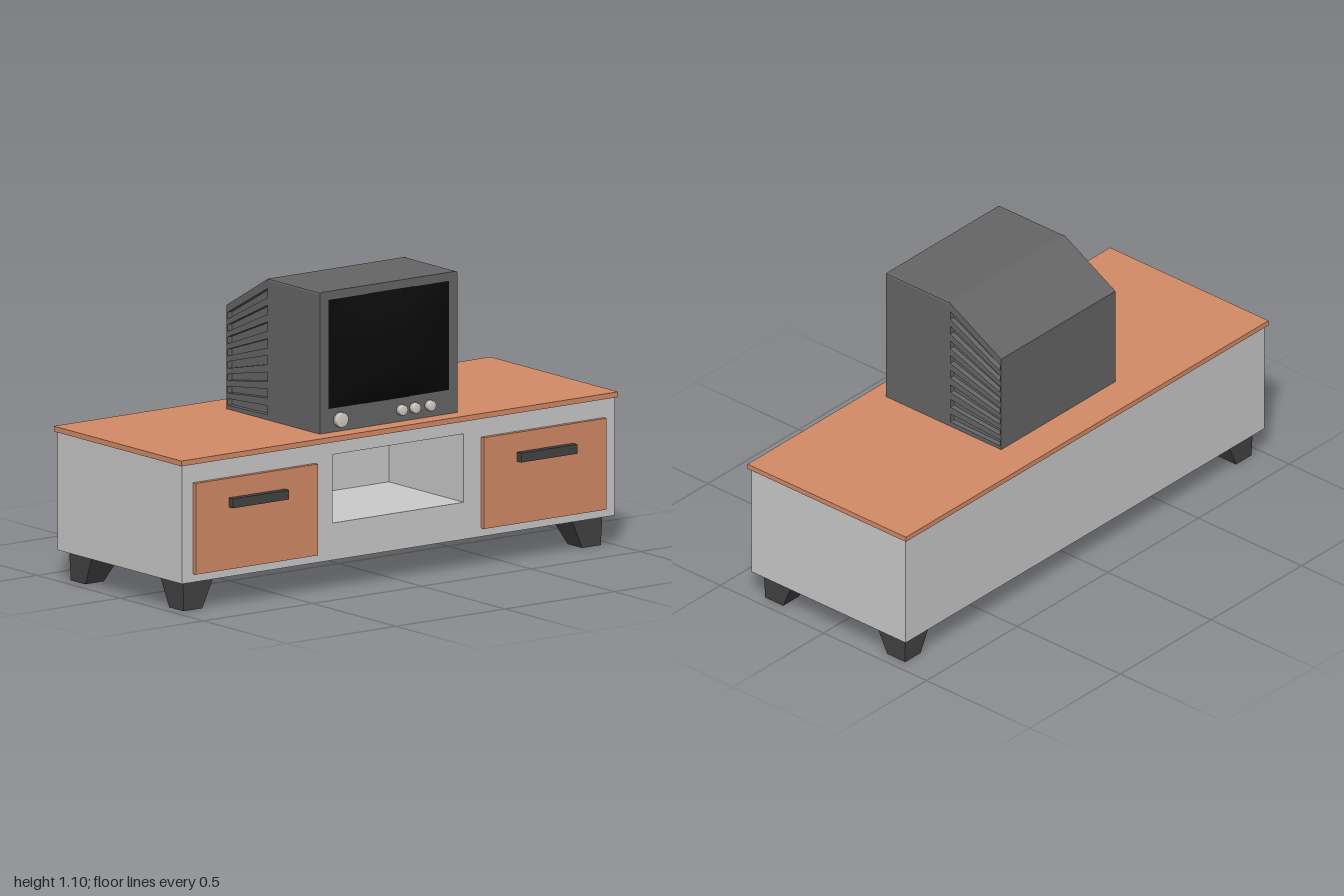
import * as THREE from 'three';

const mat = (color, extra = {}) => new THREE.MeshStandardMaterial({ color, ...extra });
const grey = mat(0xcccccc);
const wood = mat(0xd48b68);
const dark = mat(0x444444);
const shell = mat(0x666666);
const glass = mat(0x0a0a0a);
const knobMat = mat(0xd8d0c8);

function add(parent, name, geometry, material) {
  const mesh = new THREE.Mesh(geometry, material);
  mesh.name = name;
  parent.add(mesh);
  return mesh;
}

// Box given by its minimum and maximum on each axis
function block(x0, x1, y0, y1, z0, z1) {
  return new THREE.BoxGeometry(x1 - x0, y1 - y0, z1 - z0)
    .translate((x0 + x1) / 2, (y0 + y1) / 2, (z0 + z1) / 2);
}

const polygon = (points, Type = THREE.Shape) => new Type(points.map(([x, y]) => new THREE.Vector2(x, y)));
const rect = (x0, x1, y0, y1, Type) => polygon([[x0, y0], [x1, y0], [x1, y1], [x0, y1]], Type);

// Extrudes a (z, y) outline along x, from x0 to x1
function extrudeAcross(shape, x0, x1) {
  return new THREE.ExtrudeGeometry(shape, { depth: x1 - x0, bevelEnabled: false })
    .rotateY(-Math.PI / 2).translate(x1, 0, 0);
}

// Tapered foot: outer faces almost upright, inner faces slanted
function footGeometry(sx, sz, zOuter) {
  const g = new THREE.BoxGeometry(1, 1, 1);
  const p = g.attributes.position;
  for (let i = 0; i < p.count; i++) {
    const top = p.getY(i) > 0;
    const outX = p.getX(i) * sx > 0;
    const outZ = p.getZ(i) * sz > 0;
    const x = outX ? (top ? 0.96 : 0.955) : (top ? 0.82 : 0.87);
    const z = zOuter - (outZ ? (top ? 0 : 0.003) : (top ? 0.14 : 0.09));
    p.setXYZ(i, sx * x, top ? 0.112 : 0, sz * z);
  }
  g.computeVertexNormals();
  return g;
}

function createCabinet() {
  const cabinet = new THREE.Group();
  cabinet.name = 'cabinet';

  // Carcass with an open shelf in the middle
  const face = rect(-0.99, 0.99, 0.112, 0.553);
  face.holes.push(rect(-0.3, 0.3, 0.25, 0.505, THREE.Path));
  const front = new THREE.ExtrudeGeometry(face, { depth: 0.45, bevelEnabled: false });
  add(cabinet, 'carcassFront', front.translate(0, 0, -0.092), grey);
  add(cabinet, 'carcassBack', block(-0.99, 0.99, 0.112, 0.553, -0.39, -0.092), grey);
  add(cabinet, 'tabletop', block(-1, 1, 0.553, 0.573, -0.4, 0.368), wood);

  // Drawers, handles and feet on both sides
  for (const s of [-1, 1]) {
    const cx = s * 0.66;
    add(cabinet, 'drawer', block(cx - 0.28, cx + 0.28, 0.143, 0.483, 0.355, 0.375), wood);
    add(cabinet, 'handle', block(cx - 0.128, cx + 0.128, 0.375, 0.41, 0.373, 0.4), dark);
    add(cabinet, 'frontFoot', footGeometry(s, 1, 0.325), dark);
    add(cabinet, 'backFoot', footGeometry(s, -1, 0.36), dark);
  }
  return cabinet;
}

function createTelevision() {
  const tv = new THREE.Group();
  tv.name = 'television';
  const base = 0.573, top = 1.1, backTop = 0.96;
  const w = 0.315, inset = 0.02, zMid = -0.01, zBack = -0.26;

  // Front housing with slightly rounded corners
  const r = 0.008;
  const outline = polygon([
    [-w, base], [w, base], [w, top - r], [w - r * 0.3, top - r * 0.3], [w - r, top],
    [-w + r, top], [-w + r * 0.3, top - r * 0.3], [-w, top - r],
  ]);
  const housing = new THREE.ExtrudeGeometry(outline, { depth: 0.3 - zMid, bevelEnabled: false });
  add(tv, 'frontHousing', housing.translate(0, 0, zMid), shell);

  // Sloping rear core
  const rear = [[zBack, base], [zMid, base], [zMid, top], [zBack, backTop]];
  add(tv, 'rearHousing', extrudeAcross(polygon(rear), -w + inset, w - inset), shell);

  // Side panels with vent slots that fan out toward the front
  const slots = 8;
  const atBack = (y) => base + (y - base) * (backTop - base) / (top - base);
  for (const s of [-1, 1]) {
    const panel = polygon(rear);
    for (let i = 0; i < slots; i++) {
      const y0 = 0.592 + i * 0.0625, y1 = y0 + 0.034;
      panel.holes.push(polygon([
        [zMid - 0.003, y0], [zMid - 0.003, y1],
        [zBack + 0.006, atBack(y1)], [zBack + 0.006, atBack(y0)],
      ], THREE.Path));
    }
    const a = s * (w - inset), b = s * w;
    add(tv, 'ventPanel', extrudeAcross(panel, Math.min(a, b), Math.max(a, b)), shell);
  }

  // Bulging screen
  const screen = new THREE.PlaneGeometry(2, 2, 16, 12);
  const p = screen.attributes.position;
  for (let i = 0; i < p.count; i++) {
    const u = p.getX(i), v = p.getY(i);
    const bulge = (1 - u * u) * (1 - Math.abs(v) ** 3);
    p.setXYZ(i, u * 0.275, 0.865 + v * 0.203, 0.301 + 0.067 * bulge);
  }
  screen.computeVertexNormals();
  add(tv, 'screen', screen, glass);

  // Control knobs
  for (const [x, radius] of [[-0.225, 0.028], [0.055, 0.02], [0.115, 0.02], [0.185, 0.02]]) {
    const profile = [[0, 0], [radius, 0], [radius, 0.019], [radius - 0.003, 0.023], [0, 0.023]]
      .map(([a, b]) => new THREE.Vector2(a, b));
    const knob = new THREE.LatheGeometry(profile, 24).rotateX(Math.PI / 2);
    add(tv, 'knob', knob, knobMat).position.set(x, 0.617, 0.299);
  }
  return tv;
}

export function createModel() {
  const model = new THREE.Group();
  model.name = 'televisionOnCabinet';
  model.add(createCabinet(), createTelevision());
  return model;
}
